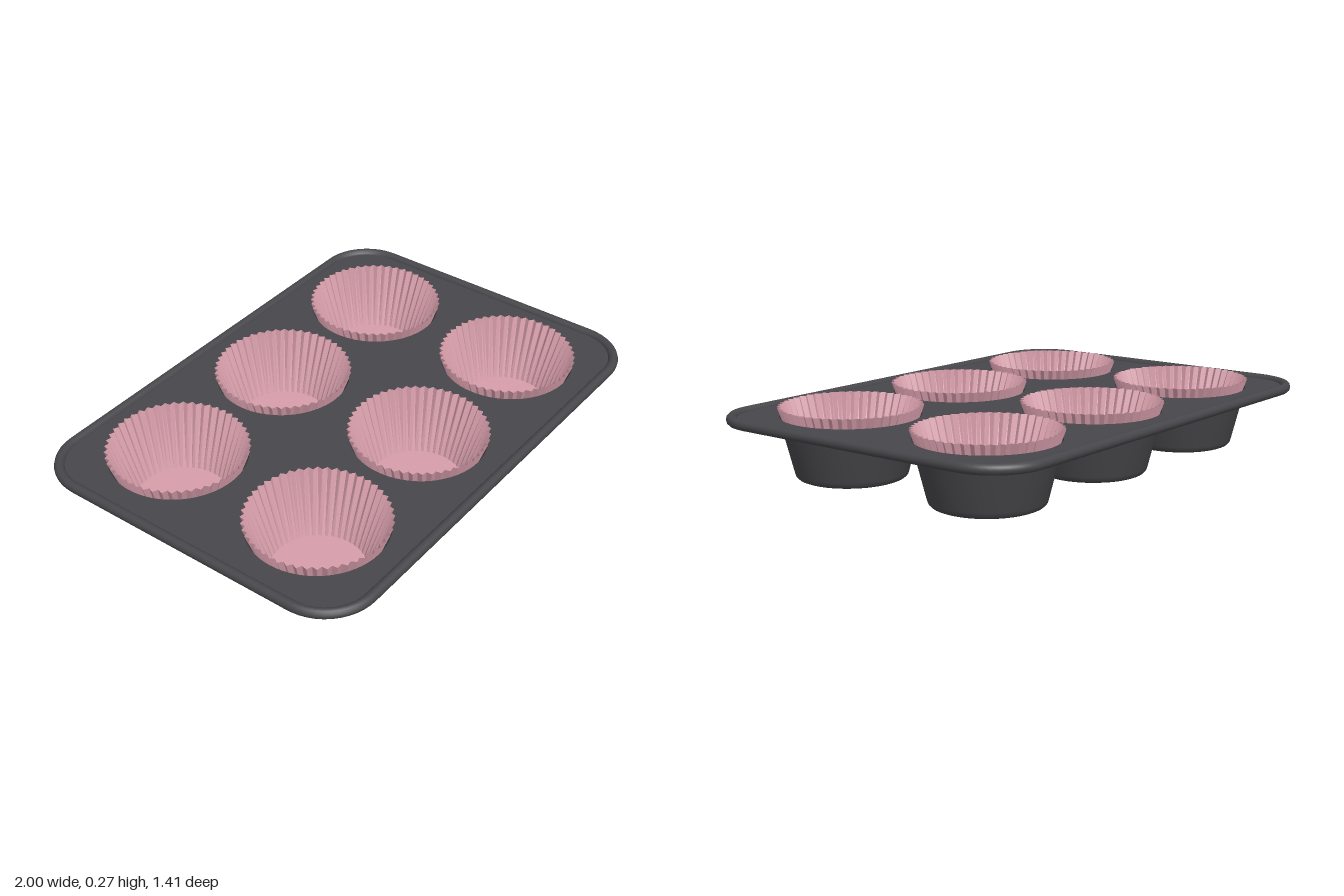
import * as THREE from 'three';
import { toCreasedNormals } from 'three/addons/utils/BufferGeometryUtils.js';

const HALF_X = 0.98, HALF_Z = 0.685, CORNER = 0.19;
const PLEATS = 48;

function roundedRect(hx, hy, r) {
  const s = new THREE.Shape();
  s.absarc(hx - r, hy - r, r, 0, Math.PI / 2);
  s.absarc(-hx + r, hy - r, r, Math.PI / 2, Math.PI);
  s.absarc(-hx + r, -hy + r, r, Math.PI, Math.PI * 1.5);
  s.absarc(hx - r, -hy + r, r, Math.PI * 1.5, Math.PI * 2);
  s.closePath();
  return s;
}

const lathe = (points, segments) =>
  new THREE.LatheGeometry(points.map(([x, y]) => new THREE.Vector2(x, y)), segments);

// Paper case: every second wall column is pulled inward to fold the pleats
function linerGeometry() {
  const geo = lathe([[0, 0.02], [0.18, 0.02], [0.27, 0.27]], PLEATS * 2);
  const pos = geo.attributes.position;
  for (let i = 0; i < pos.count; i++) {
    const column = Math.floor(i / 3), row = i % 3;
    if (column % 2 === 0 || row === 0) continue;
    const k = row === 2 ? 0.945 : 0.98;
    pos.setX(i, pos.getX(i) * k);
    pos.setZ(i, pos.getZ(i) * k);
  }
  const flat = geo.toNonIndexed();
  flat.computeVertexNormals();
  return flat;
}

export function createModel() {
  const group = new THREE.Group();
  const metal = new THREE.MeshStandardMaterial({ name: 'dark metal', color: 0x47464a, side: THREE.DoubleSide });
  const paper = new THREE.MeshStandardMaterial({ name: 'pink paper', color: 0xd69daa, side: THREE.DoubleSide });

  const add = (name, geo, mat, x = 0, y = 0, z = 0) => {
    const mesh = new THREE.Mesh(geo, mat);
    mesh.name = name;
    mesh.position.set(x, y, z);
    group.add(mesh);
  };

  const centres = [];
  for (const z of [-0.325, 0.325])
    for (const x of [-0.615, 0, 0.615]) centres.push([x, z]);

  // Flat tray with a hole above each cup
  const outline = roundedRect(HALF_X, HALF_Z, CORNER);
  for (const [x, z] of centres) {
    const hole = new THREE.Path();
    hole.absarc(x, z, 0.262, 0, Math.PI * 2, true);
    outline.holes.push(hole);
  }
  const plate = new THREE.ExtrudeGeometry(outline, { depth: 0.012, bevelEnabled: false, curveSegments: 32 });
  plate.rotateX(-Math.PI / 2);
  add('trayPlate', plate, metal, 0, 0.222, 0);

  // Rolled rim around the tray
  const path = roundedRect(HALF_X, HALF_Z, CORNER).getSpacedPoints(160).slice(0, -1)
    .map((p) => new THREE.Vector3(p.x, 0, p.y));
  const rimCurve = new THREE.CatmullRomCurve3(path, true);
  add('rim', new THREE.TubeGeometry(rimCurve, 240, 0.02, 12, true), metal, 0, 0.23, 0);

  // Tapered cups and pleated paper cases
  const cup = toCreasedNormals(lathe(
    [[0, 0], [0.19, 0], [0.2, 0.004], [0.208, 0.012], [0.212, 0.025], [0.263, 0.228]], 48), 0.7);
  const liner = linerGeometry();
  for (const [x, z] of centres) {
    add('cup', cup, metal, x, 0, z);
    add('paperCase', liner, paper, x, 0, z);
  }
  return group;
}
